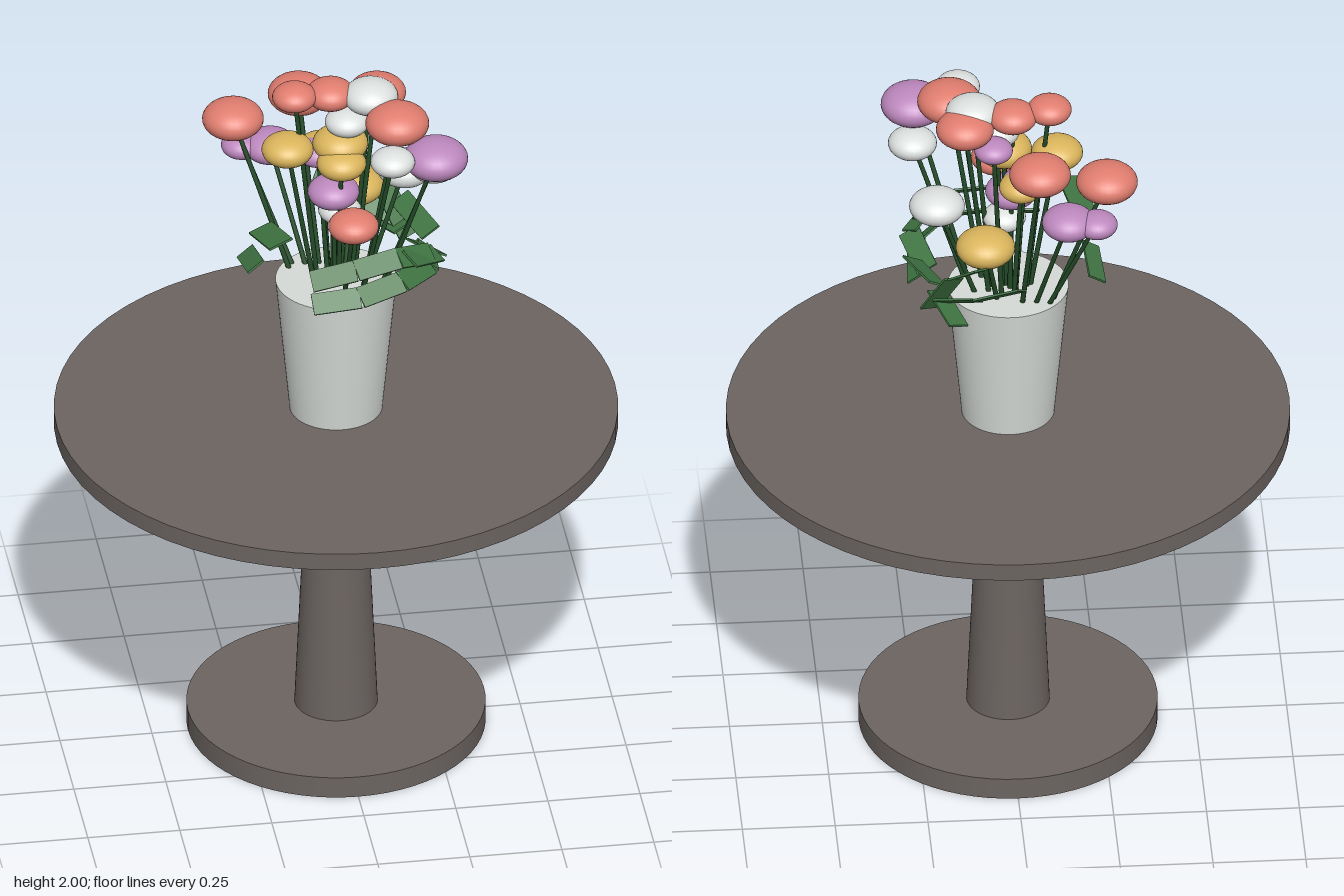
import * as THREE from 'three';

const mat = (name, color) => {
  const m = new THREE.MeshStandardMaterial({ color });
  m.name = name;
  return m;
};

export function createModel() {
  const model = new THREE.Group();
  model.name = 'tableWithFlowers';

  const wood = mat('greyBrownWood', 0x6b6461);
  const ceramic = mat('paleCeramic', 0xd5dad6);
  const stemGreen = mat('stemGreen', 0x234a27);
  const leafGreen = mat('leafGreen', 0x3f7442);
  const petals = {
    coral: mat('coralPetal', 0xe07d6f),
    white: mat('whitePetal', 0xdde1df),
    purple: mat('purplePetal', 0xbd88be),
    yellow: mat('yellowPetal', 0xdab55c),
  };

  const add = (parent, name, geometry, material) => {
    const mesh = new THREE.Mesh(geometry, material);
    mesh.name = name;
    parent.add(mesh);
    return mesh;
  };
  // Upright round part between two heights
  const round = (name, rTop, rBottom, y0, y1, material) => {
    const mesh = add(model, name, new THREE.CylinderGeometry(rTop, rBottom, y1 - y0, 64), material);
    mesh.position.y = (y0 + y1) / 2;
  };

  // Pedestal table and pot
  round('tableBase', 0.402, 0.402, 0, 0.062, wood);
  round('tableColumn', 0.073, 0.112, 0.062, 0.94, wood);
  round('tableTop', 0.758, 0.758, 0.94, 0.99, wood);
  round('pot', 0.163, 0.125, 0.99, 1.392, ceramic);

  // Flowers: colour, x, y, z, radius of the flattened head
  const flowers = [
    ['coral', -0.255, 1.82, -0.165, 0.083],
    ['coral', -0.073, 1.867, -0.19, 0.083],
    ['coral', -0.11, 1.964, -0.02, 0.06],
    ['coral', -0.01, 1.955, -0.035, 0.066],
    ['coral', 0.12, 1.935, -0.057, 0.078],
    ['coral', 0.152, 1.927, 0.095, 0.086],
    ['coral', 0.018, 1.675, 0.195, 0.068],
    ['white', 0.095, 1.955, -0.008, 0.074],
    ['white', 0.12, 1.887, 0.225, 0.06],
    ['white', 0.25, 1.79, 0.105, 0.066],
    ['white', 0.195, 1.69, -0.055, 0.075],
    ['white', 0.03, 1.885, 0, 0.06],
    ['white', 0.01, 1.61, 0, 0.058],
    ['purple', 0.243, 1.863, 0.185, 0.087],
    ['purple', -0.225, 1.71, -0.205, 0.056],
    ['purple', -0.15, 1.71, -0.19, 0.072],
    ['purple', 0.045, 1.885, -0.09, 0.052],
    ['purple', -0.01, 1.68, 0.02, 0.07],
    ['purple', -0.04, 1.76, -0.06, 0.06],
    ['yellow', 0.07, 1.602, -0.132, 0.08],
    ['yellow', -0.132, 1.812, 0, 0.07],
    ['yellow', 0.005, 1.795, 0.065, 0.067],
    ['yellow', 0.01, 1.825, 0.01, 0.075],
    ['yellow', -0.03, 1.76, -0.085, 0.06],
  ];
  const bouquet = new THREE.Group();
  bouquet.name = 'bouquet';
  model.add(bouquet);
  const headGeometry = new THREE.SphereGeometry(1, 28, 18);
  const up = new THREE.Vector3(0, 1, 0);
  for (const [color, x, y, z, r] of flowers) {
    const head = add(bouquet, color + 'FlowerHead', headGeometry, petals[color]);
    head.position.set(x, y, z);
    head.scale.set(r, r * 0.61, r);

    // Stem leaning out from the pot to the head
    const foot = new THREE.Vector3(x * 0.42, 1.36, z * 0.42);
    const dir = head.position.clone().sub(foot);
    const stem = add(bouquet, 'stem', new THREE.CylinderGeometry(0.006, 0.007, dir.length(), 8), stemGreen);
    stem.position.copy(foot).addScaledVector(dir, 0.5);
    stem.quaternion.setFromUnitVectors(up, dir.normalize());
  }

  // Leaves: thin plates from one end to the other, tilted about their length
  const leaf = (a, b, tilt, width = 0.06) => {
    const start = new THREE.Vector3(...a);
    const along = new THREE.Vector3(...b).sub(start);
    const length = along.length();
    const x = along.clone().normalize();
    const z = x.clone().cross(up).normalize().applyAxisAngle(x, tilt);
    const y = z.clone().cross(x);
    const mesh = add(bouquet, 'leaf', new THREE.BoxGeometry(length, 0.006, width), leafGreen);
    mesh.position.copy(start).addScaledVector(along, 0.5);
    mesh.quaternion.setFromRotationMatrix(new THREE.Matrix4().makeBasis(x, y, z));
  };
  // Chain of leaf plates through a few points
  const leafChain = (points, tilt) => {
    for (let i = 1; i < points.length; i++) leaf(points[i - 1], points[i], tilt);
  };
  leafChain([[-0.1, 1.465, 0.24], [0.03, 1.475, 0.24], [0.15, 1.49, 0.2], [0.24, 1.475, 0.1], [0.25, 1.45, -0.04]], 0.7);
  leafChain([[-0.1, 1.525, 0.22], [0.02, 1.555, 0.23], [0.14, 1.565, 0.2], [0.24, 1.53, 0.13]], 0.7);
  leafChain([[0.17, 1.56, 0.2], [0.26, 1.51, 0.1], [0.22, 1.47, -0.03]], 0.5);
  leafChain([[-0.02, 1.55, -0.27], [0.1, 1.5, -0.235], [0.2, 1.46, -0.17]], 0.6);
  leafChain([[0.09, 1.6, -0.24], [0.16, 1.55, -0.2], [0.22, 1.42, -0.14]], 0.4);
  leaf([0.15, 1.43, -0.25], [0.2, 1.46, -0.12], 0.3);
  leaf([0.2, 1.52, -0.18], [0.26, 1.5, -0.02], 0.5);
  leaf([-0.21, 1.59, 0.03], [-0.175, 1.62, 0.17], 0.25, 0.07);
  leaf([-0.235, 1.45, -0.08], [-0.225, 1.48, 0.05], 0.6, 0.055);

  return model;
}
